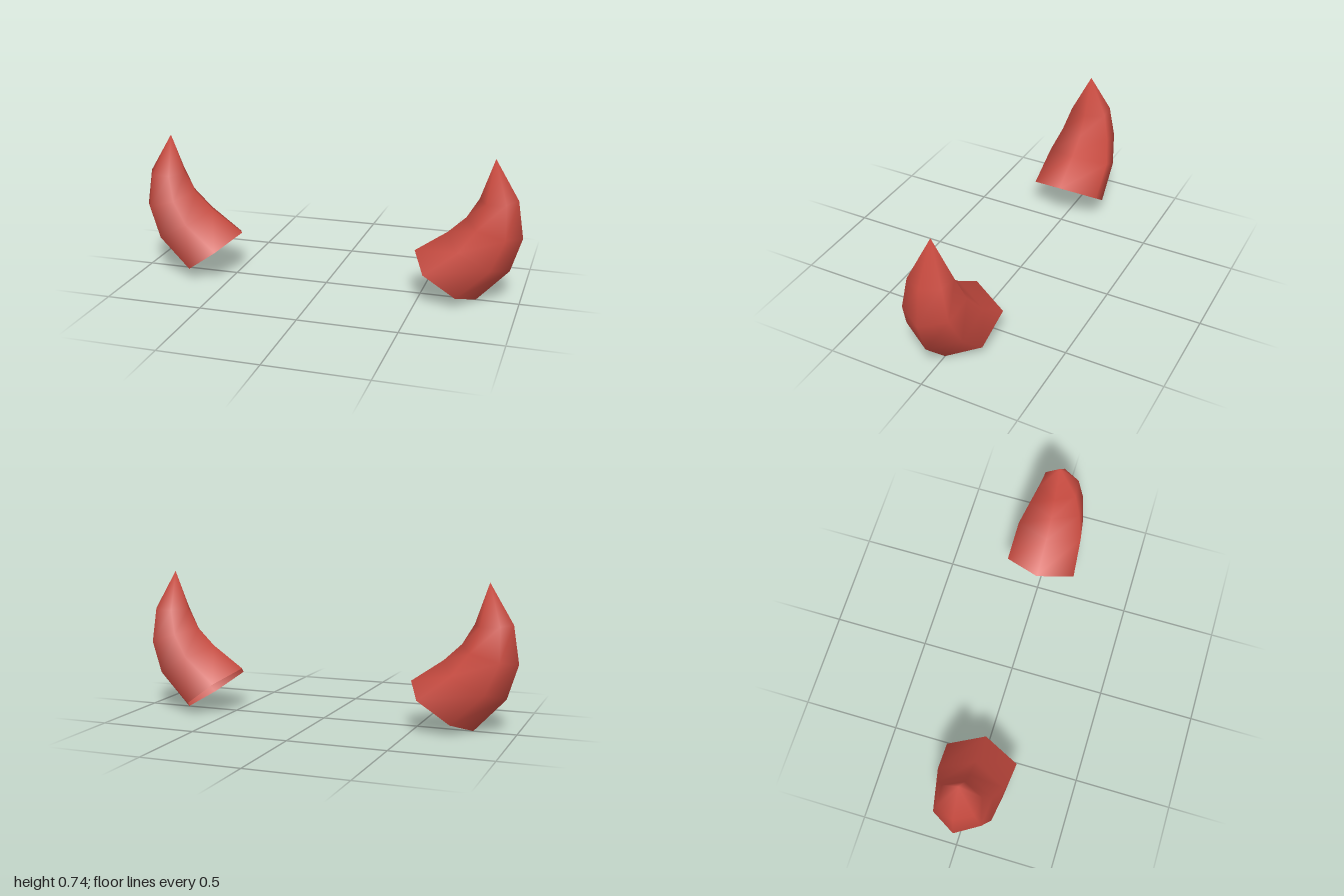
import * as THREE from 'three';

// Cross-sections from the open base upward:
// [outer x, outer y, inner x, inner y, half depth of outer corners, half depth of inner corners]
const SECTIONS = [
  [0.785, 0.0, 0.465, 0.23, 0.16, 0.187],
  [0.945, 0.17, 0.63, 0.345, 0.15, 0.174],
  [1.0, 0.345, 0.72, 0.43, 0.122, 0.137],
  [0.97, 0.535, 0.78, 0.53, 0.09, 0.1],
];
const TIP = [0.85, 0.735, 0];
const SIDES = 6;

// Curved six-sided horn, open at the base and closed to a point
function hornGeometry() {
  const positions = [];
  const index = [];
  for (const [ox, oy, ix, iy, outerZ, innerZ] of SECTIONS) {
    for (let j = 0; j < SIDES; j++) {
      const angle = (j / SIDES) * Math.PI * 2;
      const t = (1 - Math.cos(angle)) / 2; // 0 at the outer corner, 1 at the inner
      const depth = t < 0.5 ? outerZ : innerZ;
      const z = j % 3 === 0 ? 0 : Math.sign(Math.sin(angle)) * depth;
      positions.push(ox + (ix - ox) * t, oy + (iy - oy) * t, z);
    }
  }
  positions.push(...TIP);

  const tip = SECTIONS.length * SIDES;
  for (let i = 0; i < SECTIONS.length; i++) {
    for (let j = 0; j < SIDES; j++) {
      const a = i * SIDES + j;
      const b = i * SIDES + ((j + 1) % SIDES);
      if (i === SECTIONS.length - 1) index.push(a, tip, b);
      else index.push(a, a + SIDES, b, b, a + SIDES, b + SIDES);
    }
  }

  const geometry = new THREE.BufferGeometry();
  geometry.setAttribute('position', new THREE.Float32BufferAttribute(positions, 3));
  geometry.setIndex(index);
  geometry.computeVertexNormals();
  return geometry;
}

export function createModel() {
  const group = new THREE.Group();
  group.name = 'hornPair';
  const hornRed = new THREE.MeshStandardMaterial({ color: 0xc94b40, side: THREE.DoubleSide });
  hornRed.name = 'horn red';

  // The horn is symmetric in z, so a half turn gives its mirror image
  const geometry = hornGeometry();
  for (const [name, turn] of [['leftHorn', 0], ['rightHorn', Math.PI]]) {
    const horn = new THREE.Mesh(geometry, hornRed);
    horn.name = name;
    horn.rotation.y = turn;
    group.add(horn);
  }
  return group;
}
